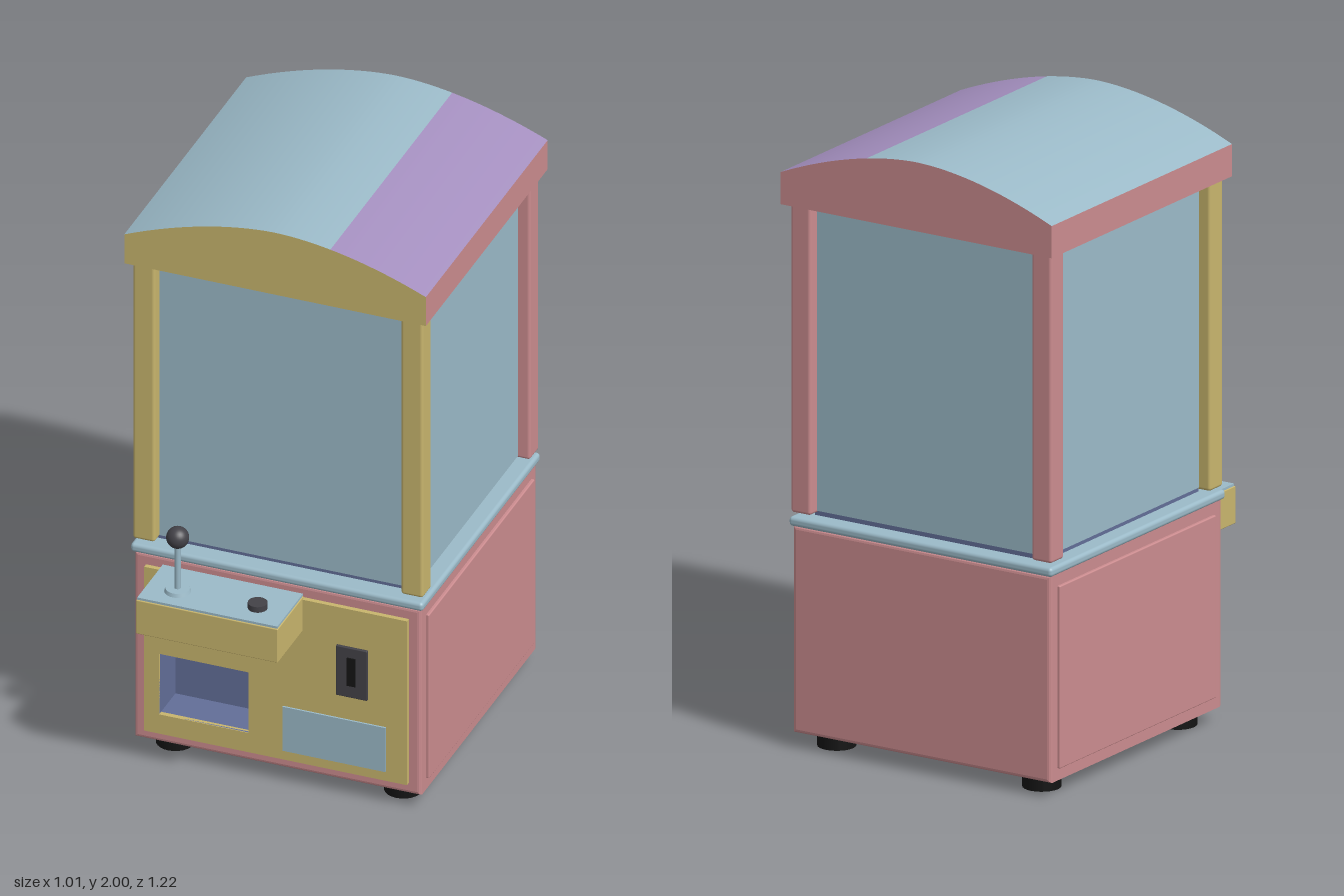
import * as THREE from 'three';
import { RoundedBoxGeometry } from 'three/addons/geometries/RoundedBoxGeometry.js';

const mat = (name, color) => {
  const m = new THREE.MeshStandardMaterial({ color });
  m.name = name;
  return m;
};

export function createModel() {
  const pink = mat('pink', 0xcb8c8f);
  const yellow = mat('mustard', 0xc8b56d);
  const blue = mat('lightBlue', 0x9bbac8);
  const purple = mat('purple', 0xa48fbf);
  const indigo = mat('indigo', 0x626e98);
  const dark = mat('charcoal', 0x434248);
  const black = mat('black', 0x141414);
  const model = new THREE.Group();
  model.name = 'clawMachine';

  const add = (name, geometry, material, x = 0, y = 0, z = 0) => {
    const mesh = new THREE.Mesh(geometry, material);
    mesh.name = name;
    mesh.position.set(x, y, z);
    model.add(mesh);
    return mesh;
  };
  // Box given by its extents; r rounds the edges
  const box = (name, material, x0, x1, y0, y1, z0, z1, r = 0) => {
    const s = [x1 - x0, y1 - y0, z1 - z0];
    const g = r ? new RoundedBoxGeometry(...s, 3, r) : new THREE.BoxGeometry(...s);
    return add(name, g, material, (x0 + x1) / 2, (y0 + y1) / 2, (z0 + z1) / 2);
  };
  const rect = (x0, x1, y0, y1, Type = THREE.Shape) => new Type(
    [[x0, y0], [x1, y0], [x1, y1], [x0, y1]].map(p => new THREE.Vector2(...p)));

  // Cabinet: hollow front section overlapping a solid rear section
  const slab = (name, z0, z1, hole) => {
    const b = 0.012;
    const shape = rect(-0.48 + b, 0.48 - b, 0.05 + b, 0.725 - b);
    if (hole) shape.holes.push(hole);
    const g = new THREE.ExtrudeGeometry(shape, {
      depth: z1 - z0 - 2 * b, bevelThickness: b, bevelSize: b, bevelSegments: 3,
    });
    add(name, g, pink, 0, 0, z0 + b);
  };
  slab('cabinetFront', 0.2, 0.385, rect(-0.43, -0.05, 0.12, 0.42, THREE.Path));
  slab('cabinetRear', -0.58, 0.25);
  for (const s of [-1, 1]) {
    box('sidePanel', pink, s * 0.48 - 0.01, s * 0.48 + 0.01, 0.09, 0.685, -0.54, 0.34, 0.004);
  }

  // Front panel with the prize opening
  const panel = rect(-0.44, 0.44, 0.09, 0.685);
  panel.holes.push(rect(-0.39, -0.09, 0.16, 0.38, THREE.Path));
  add('frontPanel', new THREE.ExtrudeGeometry(panel, { depth: 0.017, bevelEnabled: false }),
    yellow, 0, 0, 0.384);

  // Prize chute lining
  box('chuteBack', indigo, -0.4, -0.08, 0.15, 0.39, 0.25, 0.265);
  for (const x of [-0.395, -0.085]) {
    box('chuteSide', indigo, x - 0.005, x + 0.005, 0.15, 0.39, 0.25, 0.399);
  }
  for (const y of [0.155, 0.385]) {
    box('chuteFloorAndCeiling', indigo, -0.4, -0.08, y - 0.005, y + 0.005, 0.25, 0.398);
  }

  // Coin slot and instruction plate
  box('coinPlate', dark, 0.205, 0.31, 0.37, 0.55, 0.398, 0.41, 0.003);
  box('coinSlot', black, 0.243, 0.272, 0.415, 0.515, 0.407, 0.415);
  box('frontPlate', blue, 0.025, 0.37, 0.125, 0.285, 0.398, 0.407);

  // Control shelf
  box('controlShelf', yellow, -0.385, 0.09, 0.57, 0.692, 0.39, 0.607, 0.003);
  box('controlTop', blue, -0.382, 0.087, 0.691, 0.7, 0.39, 0.603);
  add('joystickBase', new THREE.CylinderGeometry(0.038, 0.042, 0.012, 32), blue, -0.28, 0.706, 0.52);
  add('joystickStem', new THREE.CylinderGeometry(0.01, 0.01, 0.17, 16), blue, -0.28, 0.79, 0.52);
  add('joystickBall', new THREE.SphereGeometry(0.036, 32, 20), dark, -0.28, 0.895, 0.52);
  add('button', new THREE.CylinderGeometry(0.031, 0.031, 0.02, 32), dark, -0.012, 0.71, 0.52);

  // Ledge, inner floor and glass
  box('ledge', blue, -0.49, 0.49, 0.724, 0.755, -0.59, 0.395, 0.012);
  box('innerFloor', indigo, -0.43, 0.43, 0.75, 0.776, -0.53, 0.33);
  box('glass', blue, -0.445, 0.445, 0.775, 1.78, -0.545, 0.345);

  // Corner posts and feet
  for (const s of [-1, 1]) {
    for (const [z, material] of [[0.347, yellow], [-0.547, pink]]) {
      box('cornerPost', material, s * 0.449 - 0.037, s * 0.449 + 0.037, 0.768, 1.78,
        z - 0.037, z + 0.037, 0.01);
    }
    for (const z of [0.285, -0.48]) {
      add('foot', new THREE.CylinderGeometry(0.061, 0.061, 0.055, 24), black, s * 0.382, 0.0275, z);
    }
  }

  // Arched roof
  const W = 0.505, base = 1.775, zBack = -0.61, zFront = 0.405;
  const arc = (x0, x1, n) => Array.from({ length: n + 1 }, (_, i) => {
    const x = x0 + (x1 - x0) * i / n;
    return new THREE.Vector2(x, 2 - 0.12 * Math.pow(Math.abs(x) / W, 1.8));
  });
  // Sheet swept along z from a counterclockwise outline
  const sweep = (points) => {
    const pos = [], index = [];
    points.forEach((p, i) => {
      pos.push(p.x, p.y, zFront, p.x, p.y, zBack);
      const a = 2 * i;
      if (i < points.length - 1) index.push(a, a + 1, a + 3, a, a + 3, a + 2);
    });
    const g = new THREE.BufferGeometry();
    g.setAttribute('position', new THREE.Float32BufferAttribute(pos, 3));
    g.setIndex(index);
    g.computeVertexNormals();
    return g;
  };
  const corners = [[-W, 1.88], [-W, base], [W, base], [W, 1.88]].map(p => new THREE.Vector2(...p));
  for (let i = 0; i < 3; i++) {
    add(['roofRightEdge', 'roofUnderside', 'roofLeftEdge'][i], sweep([corners[i], corners[i + 1]]), pink);
  }
  add('roofTopPurple', sweep(arc(W, 0.185, 12)), purple);
  add('roofTopBlue', sweep(arc(0.185, -W, 28)), blue);
  const gable = new THREE.ShapeGeometry(new THREE.Shape(
    [corners[1], corners[2], ...arc(W, 0.185, 12), ...arc(0.185, -W, 28).slice(1)]));
  add('roofFront', gable, yellow, 0, 0, zFront);
  add('roofBack', gable, pink, 0, 0, zBack).rotation.y = Math.PI;

  return model;
}
